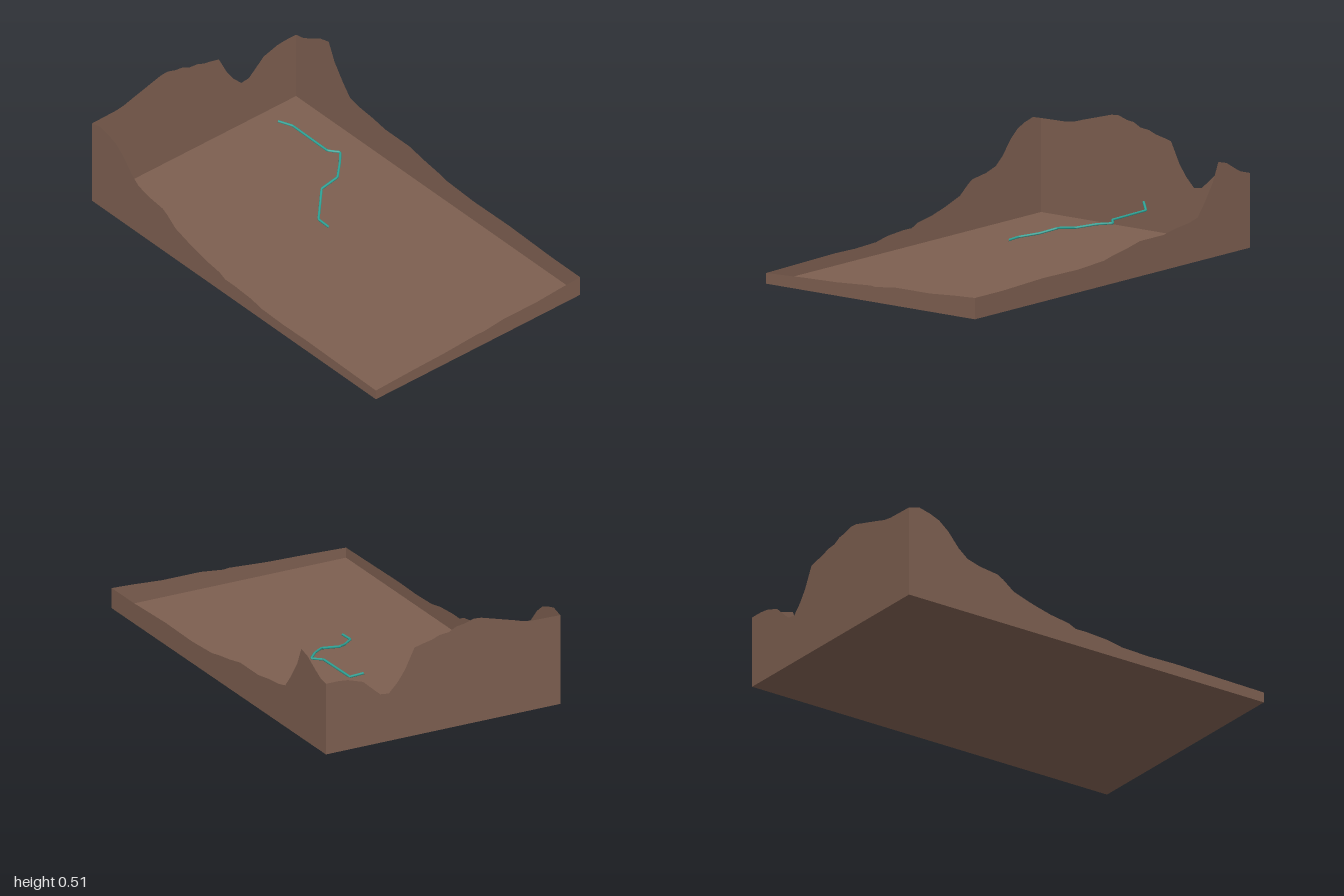
import * as THREE from 'three';

const W = 2, D = 1.23;

// Wall outlines as [distance along wall, height]
const FRONT = [[-1, .44], [-.94, .455], [-.88, .44], [-.83, .42], [-.78, .38], [-.72, .31], [-.67, .27], [-.6, .25],
  [-.5, .237], [-.47, .22], [-.41, .175], [-.3, .14], [-.2, .115], [-.1, .1], [-.06, .082], [0, .083], [.12, .075],
  [.2, .06], [.35, .055], [.5, .058], [.8, .053], [1, .05]];
const BACK = [[-1, .35], [-.95, .36], [-.9, .385], [-.83, .425], [-.77, .44], [-.73, .35], [-.67, .265], [-.62, .205],
  [-.56, .19], [-.46, .18], [-.37, .165], [-.2, .165], [-.1, .145], [0, .13], [.06, .117], [.25, .107], [.5, .11],
  [.8, .1], [1, .1]];
const RIDGE = [[-.615, .35], [-.55, .35], [-.5, .345], [-.42, .32], [-.37, .275], [-.33, .24], [-.285, .235],
  [-.24, .28], [-.2, .335], [-.15, .435], [-.11, .445], [-.06, .455], [-.02, .47], [.03, .475], [.07, .495],
  [.11, .5], [.16, .515], [.2, .512], [.37, .465], [.42, .45], [.47, .443], [.615, .44]];
const LOW = [[-.615, .1], [-.5, .095], [-.35, .085], [-.15, .085], [-.03, .072], [0, .075], [.2, .063], [.4, .058], [.615, .05]];

// Thin upright sheet under an outline
function wall(name, outline, material) {
  const first = outline[0][0], last = outline[outline.length - 1][0];
  const shape = new THREE.Shape([[first, 0], [last, 0], ...outline.slice().reverse()]
    .map(([u, y]) => new THREE.Vector2(u, y)));
  const mesh = new THREE.Mesh(new THREE.ShapeGeometry(shape), material);
  mesh.name = name;
  return mesh;
}

export function createModel() {
  const group = new THREE.Group();
  group.name = 'terrainTray';
  const earth = new THREE.MeshStandardMaterial({ color: 0x7d5f50, side: THREE.DoubleSide });
  earth.name = 'earthBrown';
  const teal = new THREE.MeshStandardMaterial({ color: 0x2fa598 });
  teal.name = 'streamTeal';

  // Flat base
  const base = new THREE.Mesh(new THREE.PlaneGeometry(W, D).rotateX(-Math.PI / 2), earth);
  base.name = 'base';
  group.add(base);

  // Long walls
  const front = wall('frontWall', FRONT, earth);
  front.position.z = D / 2;
  const back = wall('backWall', BACK, earth);
  back.position.z = -D / 2;

  // End walls, turned so the outline runs along z
  const high = wall('highEndWall', RIDGE, earth);
  const low = wall('lowEndWall', LOW, earth);
  high.position.x = -W / 2;
  low.position.x = W / 2;
  high.rotation.y = low.rotation.y = -Math.PI / 2;
  group.add(front, back, high, low);

  // Stream: a thin angular course running downhill
  const points = [[-.69, .215, -.24], [-.645, .19, -.29], [-.4, .187, -.29], [-.355, .184, -.33], [-.3, .182, -.28],
    [-.235, .167, -.21], [-.23, .153, -.11], [-.17, .13, -.05], [-.1, .115, .02], [-.025, .112, .02]]
    .map(p => new THREE.Vector3(...p));
  const course = new THREE.CurvePath();
  for (let i = 1; i < points.length; i++) course.add(new THREE.LineCurve3(points[i - 1], points[i]));
  const stream = new THREE.Mesh(new THREE.TubeGeometry(course, 90, .006, 6, false), teal);
  stream.name = 'stream';
  group.add(stream);
  return group;
}
